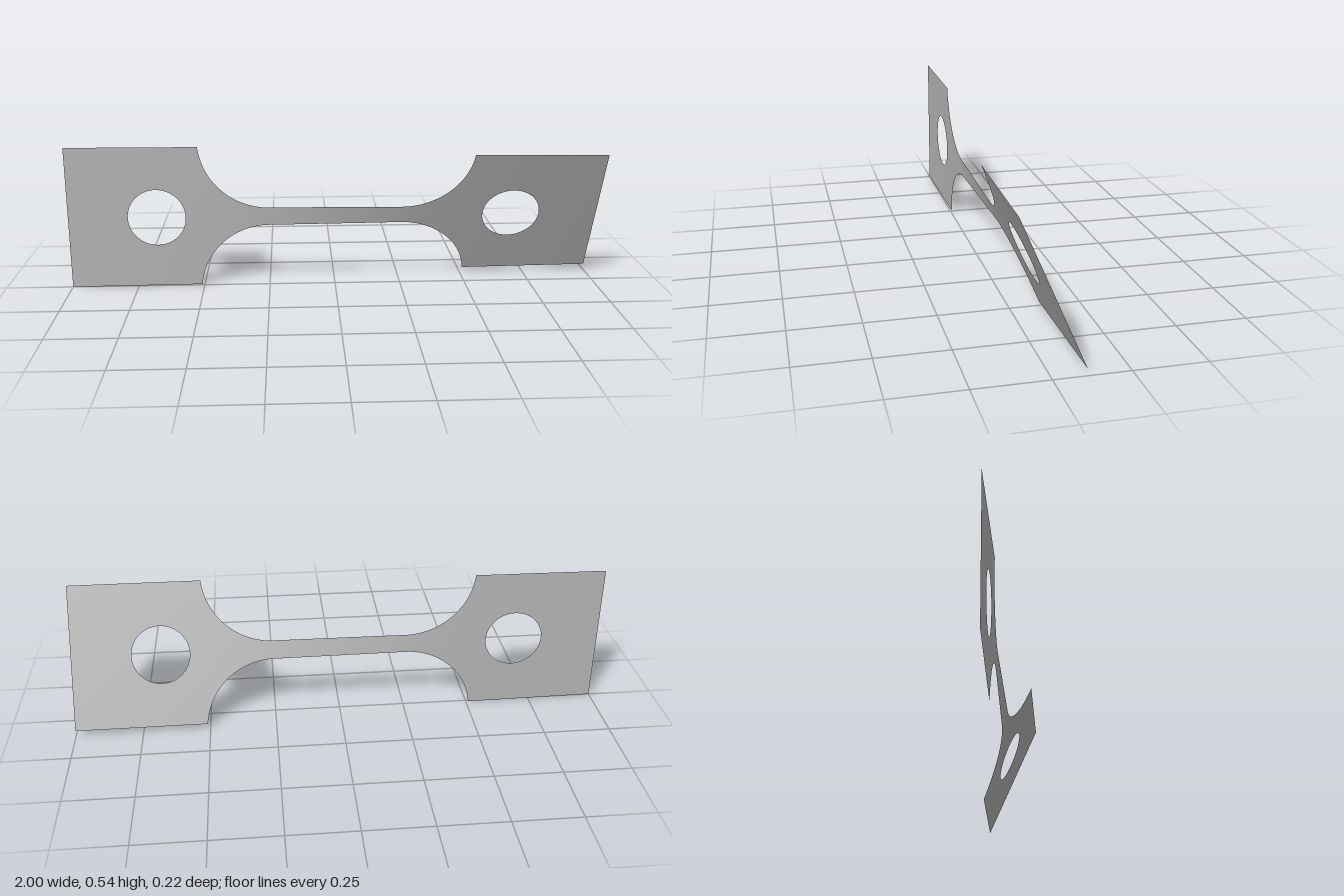
import * as THREE from 'three';
import { mergeVertices } from 'three/addons/utils/BufferGeometryUtils.js';

const HALF_H = 0.271;                       // half height of the grips
const NECK = 0.035;                         // half height of the narrow middle
const R = 0.26, FILLET_X = 0.25;            // fillet radius and where it starts
const GRIP_X = FILLET_X + Math.sqrt(R * R - (NECK + R - HALF_H) ** 2);
const HOLE_X = 0.67, HOLE_R = 0.108;
const TWIST = THREE.MathUtils.degToRad(23.7);

// Half height of the sheet at x
function halfHeight(x) {
  const a = Math.abs(x);
  if (a <= FILLET_X) return NECK;
  if (a >= GRIP_X - 1e-9) return HALF_H;
  return NECK + R - Math.sqrt(R * R - (a - FILLET_X) ** 2);
}

// Half height of the hole at x
function holeHalf(x) {
  const d = Math.abs(x) - HOLE_X;
  return Math.sqrt(Math.max(0, HOLE_R * HOLE_R - d * d));
}

// The sheet twists faster where it is narrower
const STEPS = 800, turned = [0];
for (let i = 0; i < STEPS; i++) {
  turned.push(turned[i] + 1 / halfHeight(-1 + (2 * (i + 0.5)) / STEPS));
}
function twistAt(x) {
  const t = ((x + 1) / 2) * STEPS;
  const i = Math.min(STEPS - 1, Math.max(0, Math.floor(t)));
  return (TWIST * THREE.MathUtils.lerp(turned[i], turned[i + 1], t - i)) / turned[STEPS];
}

// Twisted sheet over the x stations: one band above the hole, one below
function sheet(xs, rows = 8) {
  const pos = [], index = [];
  for (const side of [1, -1]) {
    const base = pos.length / 3;
    for (const x of xs) {
      const h = halfHeight(x), c = holeHalf(x), a = twistAt(x);
      for (let j = 0; j <= rows; j++) {
        const s = side * THREE.MathUtils.lerp(c, h, j / rows);
        pos.push(x, HALF_H + s * Math.cos(a), s * Math.sin(a));
      }
    }
    for (let i = 0; i < xs.length - 1; i++) {
      for (let j = 0; j < rows; j++) {
        const p = base + i * (rows + 1) + j, q = p + rows + 1;
        if (side > 0) index.push(p, q, q + 1, p, q + 1, p + 1);
        else index.push(p, q + 1, q, p, p + 1, q + 1);
      }
    }
  }
  const g = new THREE.BufferGeometry();
  g.setAttribute('position', new THREE.Float32BufferAttribute(pos, 3));
  g.setIndex(index);
  const merged = mergeVertices(g, 1e-5);
  merged.computeVertexNormals();
  return merged;
}

const range = (a, b, n) => Array.from({ length: n + 1 }, (_, i) => a + ((b - a) * i) / n);

export function createModel() {
  const group = new THREE.Group();
  const steel = new THREE.MeshStandardMaterial({ color: 0xb8b8b8, side: THREE.DoubleSide });
  steel.name = 'grey metal';

  const add = (name, xs) => {
    const mesh = new THREE.Mesh(sheet(xs), steel);
    mesh.name = name;
    group.add(mesh);
  };

  // Grip stations, spaced around the hole so that its rim is round
  const rim = range(0, Math.PI, 32).map((t) => HOLE_X - HOLE_R * Math.cos(t));
  const grip = [
    ...range(GRIP_X, HOLE_X - HOLE_R, 4).slice(0, -1),
    ...rim,
    ...range(HOLE_X + HOLE_R, 1, 8).slice(1),
  ];
  add('leftGrip', grip);
  add('rightGrip', grip.map((x) => -x).reverse());

  // Narrow middle with its four fillets, finer towards the steep ends
  const arc = Math.asin((GRIP_X - FILLET_X) / R);
  const fillet = range(0, arc, 28).map((t) => FILLET_X + R * Math.sin(t));
  add('twistedNeck', [
    ...fillet.map((x) => -x).reverse(),
    ...range(-FILLET_X, FILLET_X, 24).slice(1, -1),
    ...fillet,
  ]);
  return group;
}
